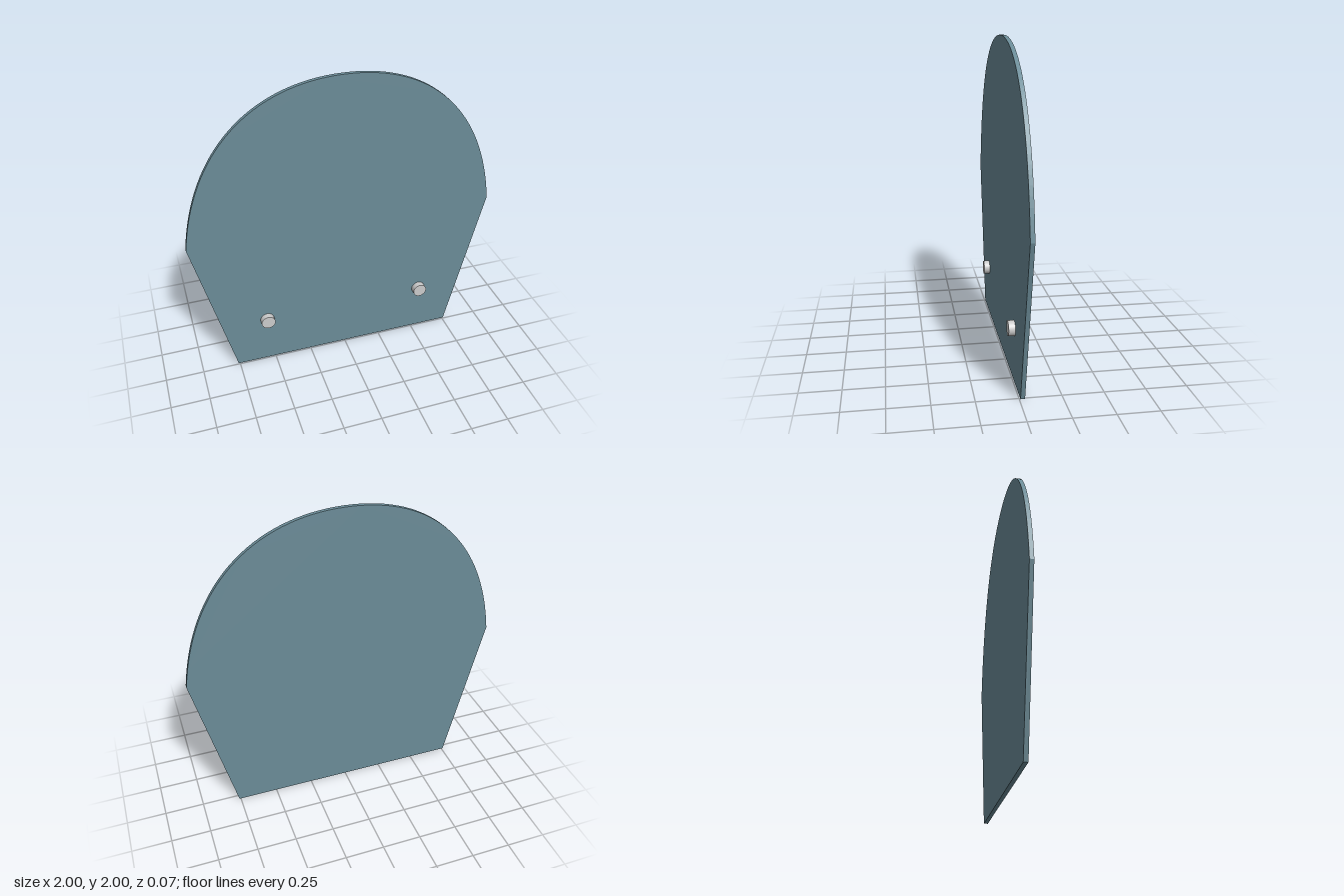
import * as THREE from 'three';

const BACK = -0.033, FACE = -0.007, PEG_END = 0.033;

export function createModel() {
  const model = new THREE.Group();
  model.name = 'archedPanel';

  // Thin panel: tapered lower half, arched top
  const outline = new THREE.Shape();
  outline.moveTo(-0.76, 0);
  outline.lineTo(0.76, 0);
  outline.lineTo(1, 1);
  outline.bezierCurveTo(0.91, 1.66, 0.54, 2, 0, 2);
  outline.bezierCurveTo(-0.54, 2, -0.91, 1.66, -1, 1);
  outline.closePath();
  const panelGeometry = new THREE.ExtrudeGeometry(outline, {
    depth: FACE - BACK, bevelEnabled: false, curveSegments: 32,
  });
  panelGeometry.translate(0, 0, BACK);
  const panel = new THREE.Mesh(panelGeometry, new THREE.MeshStandardMaterial({ color: 0x6b8c98 }));
  panel.name = 'panel';
  model.add(panel);

  // Two round pegs on the front face
  const pegGeometry = new THREE.CylinderGeometry(0.046, 0.046, PEG_END - FACE, 32);
  pegGeometry.rotateX(Math.PI / 2);
  const pegMaterial = new THREE.MeshStandardMaterial({ color: 0xcccccc });
  for (const side of [-1, 1]) {
    const peg = new THREE.Mesh(pegGeometry, pegMaterial);
    peg.name = side > 0 ? 'leftPeg' : 'rightPeg';
    peg.position.set(side * 0.54, 0.34, (FACE + PEG_END) / 2);
    model.add(peg);
  }

  return model;
}
